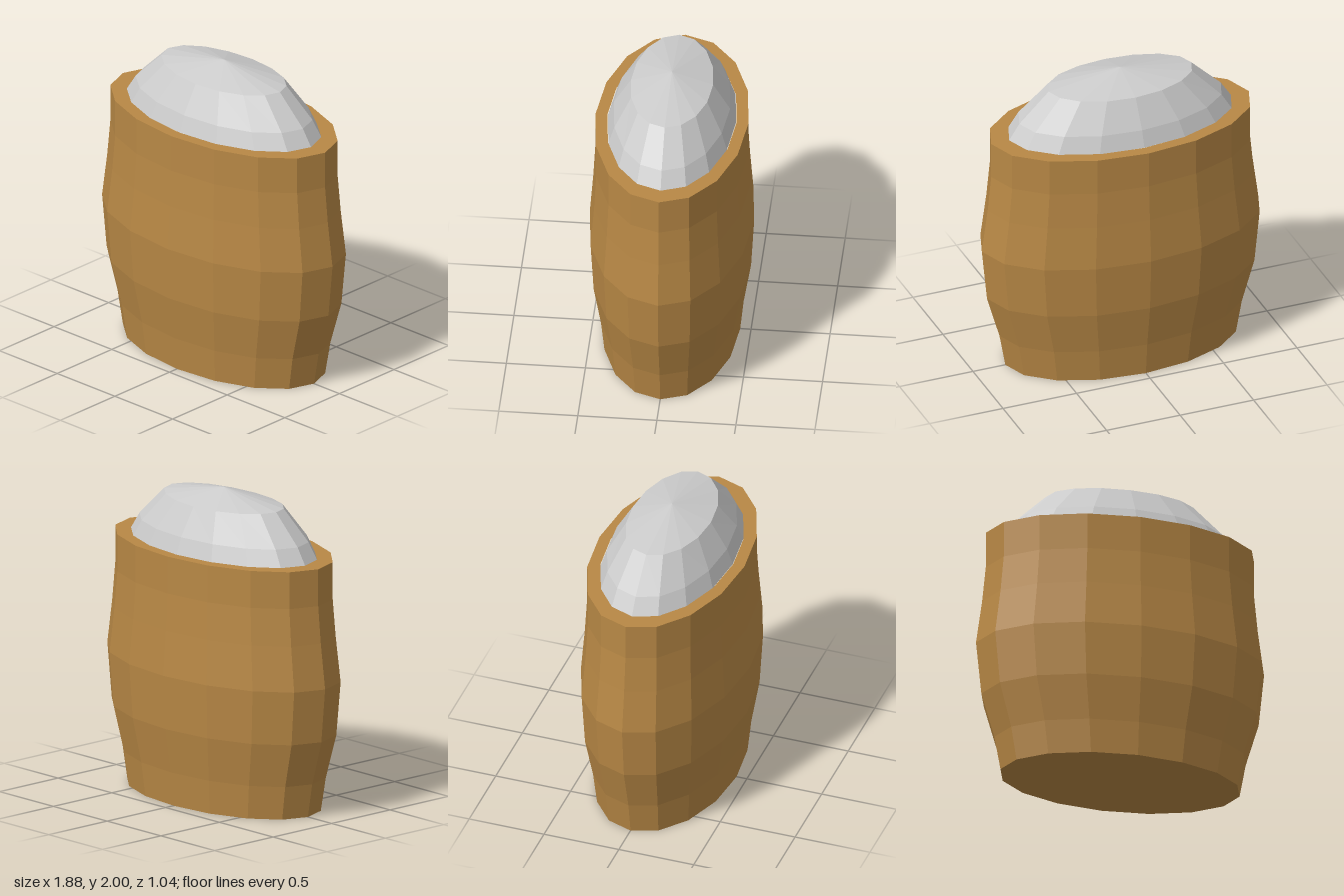
import * as THREE from 'three';

const SIDES = 16;

// Faceted solid of revolution, squashed front to back into an oval
function ovalLathe(name, profile, depth, color) {
  const points = profile.map(([r, y]) => new THREE.Vector2(r, y));
  const geometry = new THREE.LatheGeometry(points, SIDES);
  geometry.scale(1, 1, depth);
  const mesh = new THREE.Mesh(
    geometry,
    new THREE.MeshStandardMaterial({ color, flatShading: true })
  );
  mesh.name = name;
  return mesh;
}

export function createModel() {
  const group = new THREE.Group();
  group.name = 'filledBarrel';

  // Bulging wooden barrel with closed bottom and flat top rim
  const barrel = ovalLathe('barrel', [
    [0, 0], [0.78, 0], [0.82, 0.22], [0.905, 0.51], [0.94, 0.86],
    [0.90, 1.15], [0.876, 1.39], [0.876, 1.63], [0.74, 1.63],
  ], 0.553, 0xb88845);

  // Grey mound heaped above the rim
  const mound = ovalLathe('mound', [
    [0.755, 1.628], [0.685, 1.735], [0.485, 1.926], [0, 2],
  ], 0.537, 0xcccccc);

  // The mound's upper edge dips slightly at front and back
  const pos = mound.geometry.attributes.position;
  for (let i = 0; i < pos.count; i++) {
    const y = pos.getY(i);
    if (y > 1.9 && y < 1.95) pos.setY(i, y - 0.01 * (pos.getZ(i) / 0.26) ** 2);
  }
  mound.geometry.computeVertexNormals();

  group.add(barrel, mound);
  return group;
}
